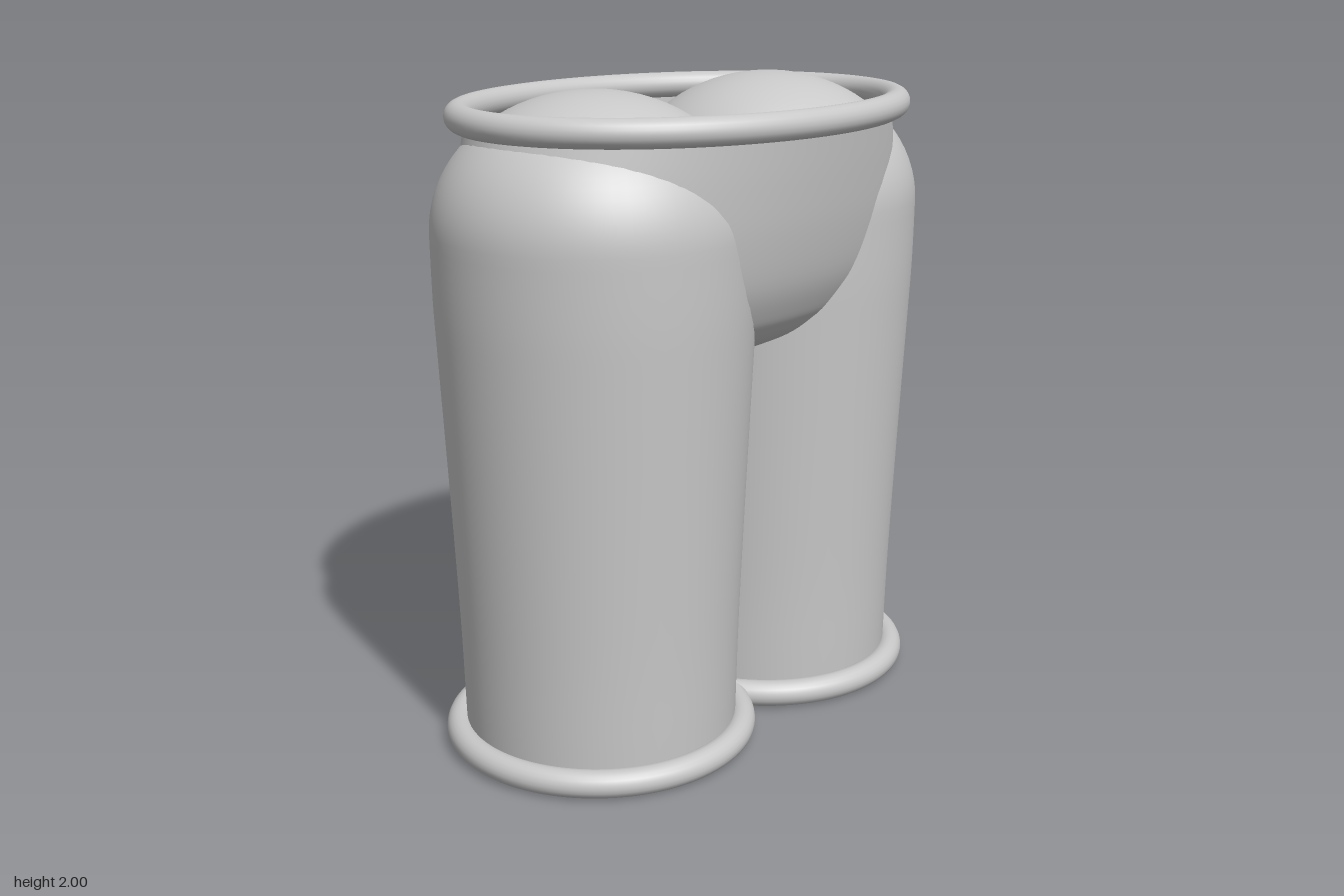
import * as THREE from 'three';
import { mergeVertices } from 'three/addons/utils/BufferGeometryUtils.js';

const SEGMENTS = 64;

// Smooth curve through [radius, height] points, listed from the bottom up
function smoothProfile(points, steps) {
  return new THREE.SplineCurve(points.map(([r, y]) => new THREE.Vector2(r, y))).getPoints(steps);
}

// Open tapered tube closed by an elliptical dome at the top
function legGeometry() {
  const profile = smoothProfile([
    [0.42, 0.04], [0.423, 0.15], [0.43, 0.4], [0.447, 0.8], [0.466, 1.2], [0.475, 1.4], [0.478, 1.6],
  ], 24);
  for (let i = 1; i <= 20; i++) {
    const a = (i / 20) * Math.PI / 2;
    profile.push(new THREE.Vector2(i === 20 ? 0 : 0.478 * Math.cos(a), 1.6 + 0.4 * Math.sin(a)));
  }
  return new THREE.LatheGeometry(profile, SEGMENTS);
}

// Bowl-shaped seat, open at the waist, relatively wider towards the hips
function seatGeometry() {
  const profile = smoothProfile([
    [0, 1.13], [0.13, 1.15], [0.243, 1.2], [0.344, 1.25], [0.398, 1.3], [0.433, 1.35],
    [0.477, 1.45], [0.512, 1.6], [0.535, 1.75], [0.551, 1.88], [0.556, 1.92],
  ], 50);
  let geometry = new THREE.LatheGeometry(profile, SEGMENTS);
  const p = geometry.attributes.position;
  for (let i = 0; i < p.count; i++) {
    p.setX(i, p.getX(i) * (1.35 + (1.9 - p.getY(i)) * 0.9));
  }
  geometry.deleteAttribute('uv');
  geometry.deleteAttribute('normal');
  geometry = mergeVertices(geometry);
  geometry.computeVertexNormals();
  return geometry;
}

// Closed elliptical ring with a round section, lying flat
class EllipseLoop extends THREE.Curve {
  constructor(rx, rz) {
    super();
    this.rx = rx;
    this.rz = rz;
  }
  getPoint(t, target = new THREE.Vector3()) {
    const a = t * Math.PI * 2;
    return target.set(this.rx * Math.cos(a), 0, this.rz * Math.sin(a));
  }
}

function ringGeometry(rx, rz, tube) {
  return new THREE.TubeGeometry(new EllipseLoop(rx, rz), 96, tube, 20, true);
}

export function createModel() {
  const model = new THREE.Group();
  model.name = 'shorts';
  const cloth = new THREE.MeshStandardMaterial({ color: 0xc8c8c8, side: THREE.DoubleSide });
  cloth.name = 'grey cloth';

  function add(name, geometry, x, y) {
    const mesh = new THREE.Mesh(geometry, cloth);
    mesh.name = name;
    mesh.position.set(x, y, 0);
    model.add(mesh);
  }

  // Waist and seat
  add('seat', seatGeometry(), 0, 0);
  add('waistband', ringGeometry(0.765, 0.563, 0.042), 0, 1.922);

  // Legs with hem rings
  const leg = legGeometry();
  const hem = ringGeometry(0.442, 0.442, 0.042);
  for (const [side, x] of [['left', 0.4], ['right', -0.4]]) {
    add(`${side}Leg`, leg, x, 0);
    add(`${side}Hem`, hem, x, 0.043);
  }
  return model;
}
